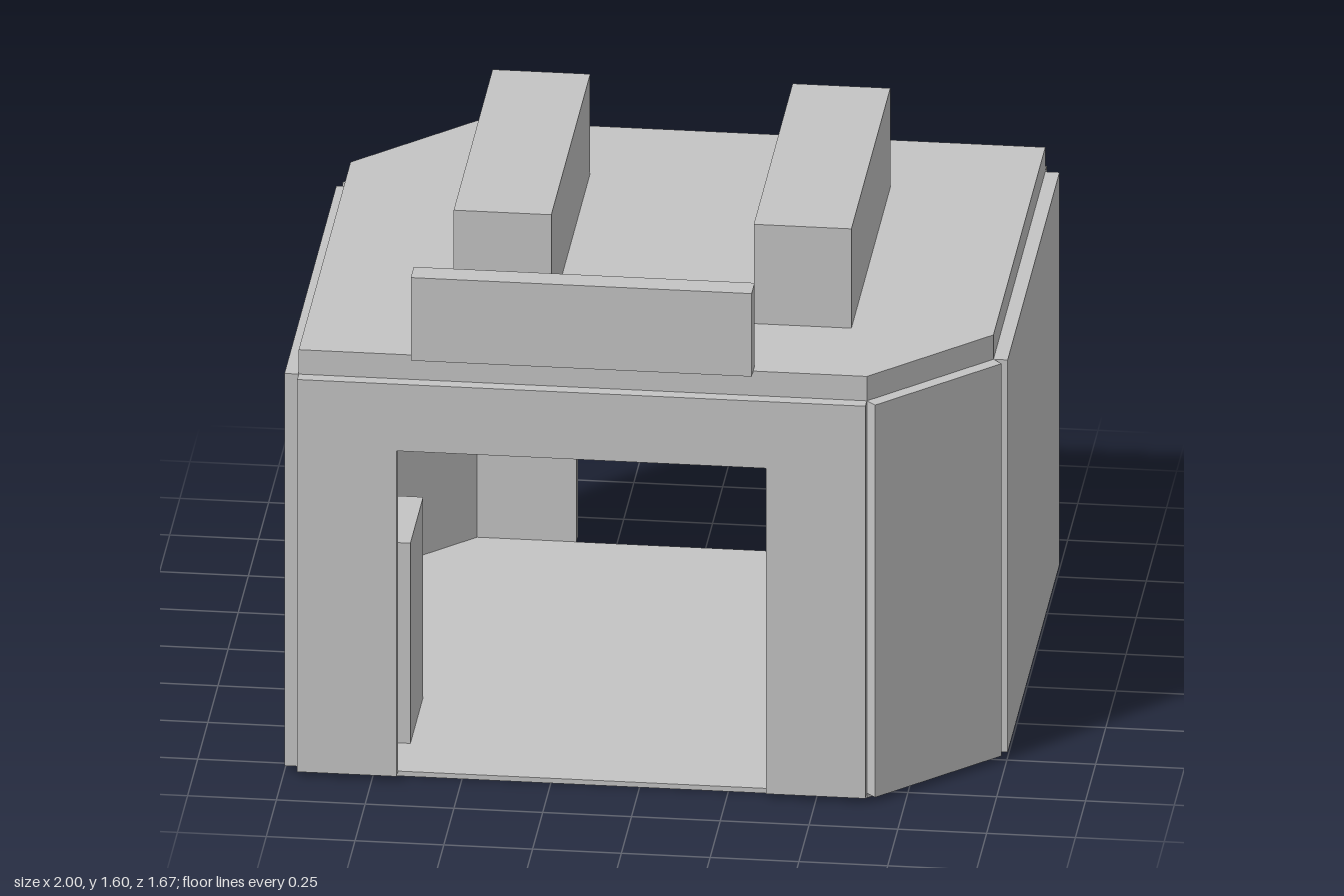
import * as THREE from 'three';

export function createModel() {
  const model = new THREE.Group();
  model.name = 'kiosk';
  const grey = new THREE.MeshStandardMaterial({ color: 0xc4c4c4 });
  grey.name = 'plain grey';

  const FLOOR = 0.015, EAVES = 1.22, ROOF = 1.295, SKIN = 0.037;

  function add(name, geometry, parent = model) {
    const mesh = new THREE.Mesh(geometry, grey);
    mesh.name = name;
    parent.add(mesh);
    return mesh;
  }

  // Box given by its lower and upper limits on each axis
  function box(name, [x0, x1], [y0, y1], [z0, z1]) {
    const mesh = add(name, new THREE.BoxGeometry(x1 - x0, y1 - y0, z1 - z0));
    mesh.position.set((x0 + x1) / 2, (y0 + y1) / 2, (z0 + z1) / 2);
    return mesh;
  }

  // Floor and roof share a plan with two opposite corners cut off
  const plan = new THREE.Shape([
    [-0.96, -0.8], [0.64, -0.8], [0.96, -0.48],
    [0.96, 0.8], [-0.64, 0.8], [-0.96, 0.48],
  ].map(([x, y]) => new THREE.Vector2(x, y)));

  function slab(name, y0, y1) {
    const g = new THREE.ExtrudeGeometry(plan, { depth: y1 - y0, bevelEnabled: false });
    g.rotateX(-Math.PI / 2);
    add(name, g).position.y = y0;
  }
  slab('floor', 0, FLOOR);
  slab('roof', EAVES, ROOF);

  // Front wall outline, with its doorway open down to the floor
  const doorWall = new THREE.Shape([
    [-0.96, FLOOR], [-0.68, FLOOR], [-0.68, 1.015], [0.36, 1.015],
    [0.36, FLOOR], [0.64, FLOOR], [0.64, EAVES], [-0.96, EAVES],
  ].map(([x, y]) => new THREE.Vector2(x, y)));

  // The back half of the shell is the front half turned by half a circle
  for (const [side, turn] of [['front', 0], ['back', Math.PI]]) {
    const half = new THREE.Group();
    half.name = side + 'Walls';
    half.rotation.y = turn;
    model.add(half);

    const door = add(side + 'DoorWall',
      new THREE.ExtrudeGeometry(doorWall, { depth: SKIN, bevelEnabled: false }), half);
    door.position.z = 0.8;

    const height = EAVES - FLOOR, midY = (EAVES + FLOOR) / 2;
    const wall = add(side + 'SideWall', new THREE.BoxGeometry(0.04, height, 1.28), half);
    wall.position.set(0.98, midY, -0.16);

    const corner = add(side + 'CornerWall',
      new THREE.BoxGeometry(0.32 * Math.SQRT2, height, SKIN), half);
    const out = SKIN / 2 / Math.SQRT2;
    corner.position.set(0.8 + out, midY, 0.64 + out);
    corner.rotation.y = Math.PI / 4;
  }

  // Rooftop units and sign board
  box('leftRoofUnit', [0.285, 0.56], [ROOF, 1.6], [-0.48, 0.48]);
  box('rightRoofUnit', [-0.56, -0.285], [ROOF, 1.6], [-0.48, 0.48]);
  box('signBoard', [-0.64, 0.32], [ROOF, 1.55], [0.765, 0.838]);

  // Furniture inside
  box('cabinet', [-0.88, -0.667], [FLOOR, 0.63], [0.295, 0.61]);
  box('bench', [0.667, 0.88], [FLOOR, 0.29], [-0.34, 0.47]);

  return model;
}
